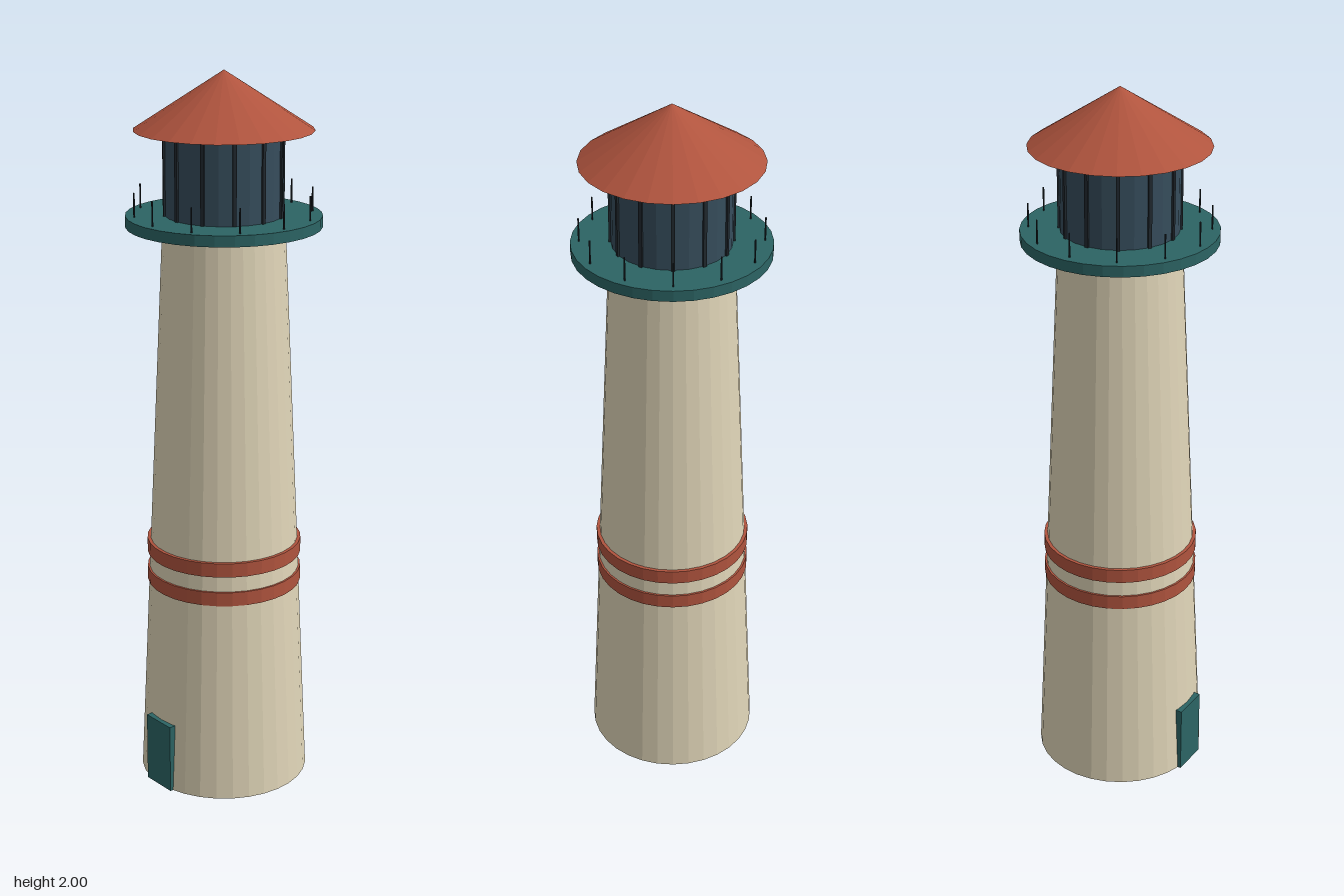
import * as THREE from 'three';

const paint = (color) => new THREE.MeshStandardMaterial({ color, flatShading: true });

export function createModel() {
  const model = new THREE.Group();
  model.name = 'lighthouse';
  const cream = paint(0xe0d5b8);
  const red = paint(0xb0543e);
  const teal = paint(0x2c6464);
  const glass = paint(0x364d5c);
  const iron = paint(0x20282e);

  function add(name, geometry, material, x = 0, y = 0, z = 0, parent = model) {
    const mesh = new THREE.Mesh(geometry, material);
    mesh.name = name;
    mesh.position.set(x, y, z);
    parent.add(mesh);
    return mesh;
  }

  // Round section standing between two heights
  function drum(name, rTop, rBottom, y0, y1, sides, material) {
    const geometry = new THREE.CylinderGeometry(rTop, rBottom, y1 - y0, sides);
    return add(name, geometry, material, 0, (y0 + y1) / 2, 0);
  }

  // Tapered tower with two painted bands
  drum('tower', 0.165, 0.238, 0, 1.59, 32, cream);
  drum('lowerBand', 0.215, 0.215, 0.58, 0.62, 32, red);
  drum('upperBand', 0.215, 0.215, 0.665, 0.705, 32, red);

  // Door at the front foot of the tower
  add('door', new THREE.BoxGeometry(0.105, 0.2, 0.04), teal, 0, 0.1, 0.221);

  // Gallery, lantern room and conical roof
  drum('gallery', 0.263, 0.263, 1.59, 1.62, 32, teal);
  drum('lanternGlass', 0.158, 0.158, 1.62, 1.845, 24, glass);
  add('roof', new THREE.ConeGeometry(0.24, 0.155, 24), red, 0, 1.9225, 0);

  // Twelve glazing bars and twelve thin railing posts
  const bars = new THREE.Group();
  bars.name = 'glazingBars';
  const posts = new THREE.Group();
  posts.name = 'railingPosts';
  model.add(bars, posts);
  const barGeometry = new THREE.BoxGeometry(0.01, 0.225, 0.01);
  const postGeometry = new THREE.CylinderGeometry(0.0025, 0.0025, 0.065, 6);
  for (let i = 0; i < 12; i++) {
    const a = (i * Math.PI) / 6;
    const s = Math.sin(a), c = Math.cos(a);
    add('glazingBar', barGeometry, iron, 0.158 * s, 1.7325, 0.158 * c, bars).rotation.y = a;
    add('railingPost', postGeometry, iron, 0.24 * s, 1.6525, 0.24 * c, posts);
  }

  return model;
}
